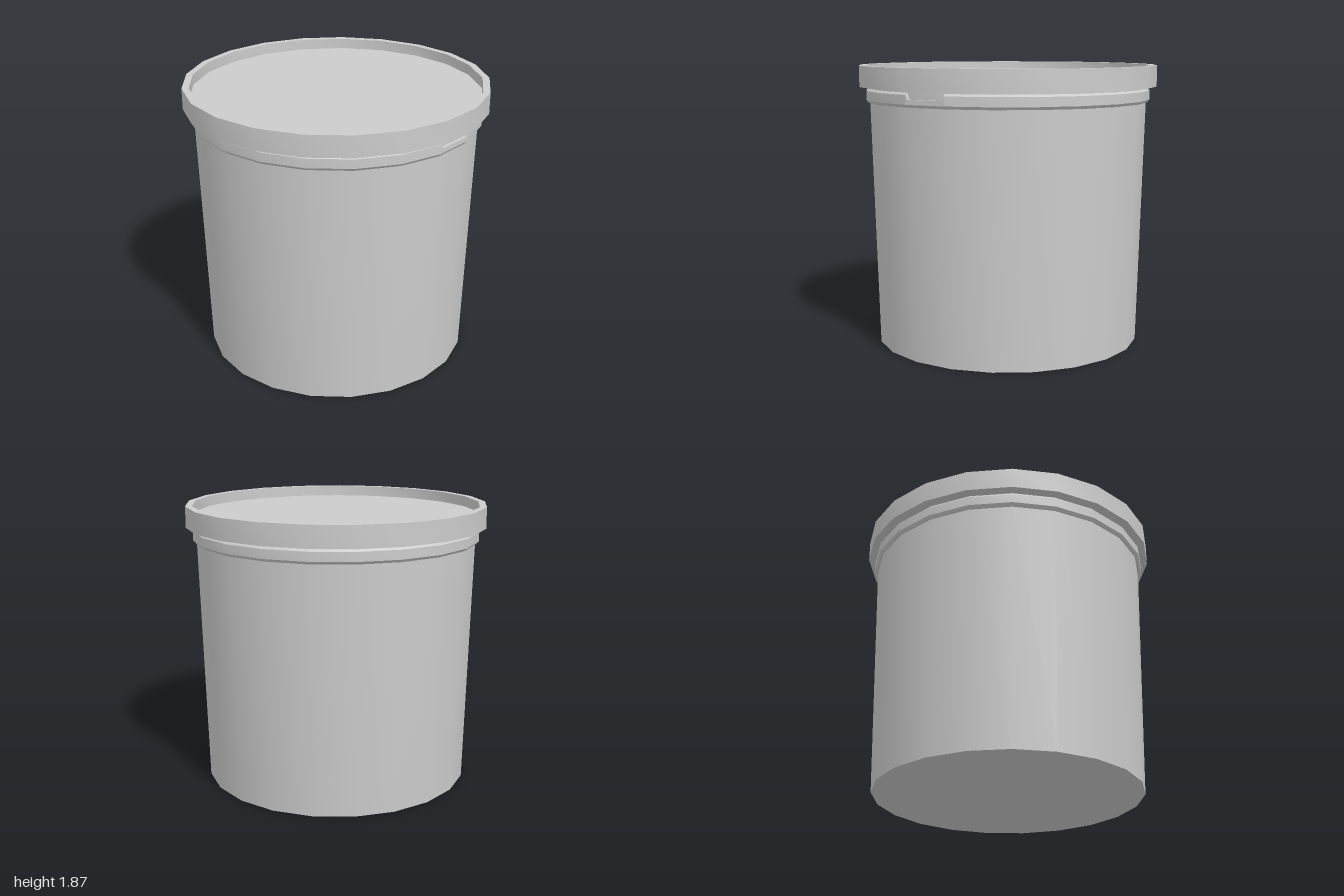
import * as THREE from 'three';
import { toCreasedNormals } from 'three/addons/utils/BufferGeometryUtils.js';

const SIDES = 21;
const STEP = (Math.PI * 2) / SIDES;

export function createModel() {
  const group = new THREE.Group();
  const material = new THREE.MeshStandardMaterial({ color: 0xcccccc, side: THREE.DoubleSide });

  const add = (name, geometry) => {
    const mesh = new THREE.Mesh(geometry, material);
    mesh.name = name;
    group.add(mesh);
    return mesh;
  };

  // Turned part with 21 sides; the flat facet faces the front
  const turned = (name, profile, segments = SIDES) => {
    const points = profile.map(([r, y]) => new THREE.Vector2(r, y));
    const lathe = new THREE.LatheGeometry(points, segments, STEP / 2, STEP * segments);
    return add(name, toCreasedNormals(lathe, 0.5));
  };

  // Tapered tub, closed at the bottom
  turned('tub', [[0, 0], [0.893, 0], [0.934, 1.63], [0.934, 1.74]]);

  // Collar under the lid: a full lower lip and an upper band that skips the front facet
  turned('collarLip', [[0.92, 1.627], [0.942, 1.627], [0.958, 1.645]]);
  turned('collarBand', [[0.958, 1.645], [0.958, 1.705], [0.945, 1.718], [0.92, 1.718]], SIDES - 1);

  // Front facet of the collar with the sloping notch for opening the lid
  const notch = new THREE.Shape([
    [-0.143, 1.645], [0.143, 1.645], [0.143, 1.715],
    [0.126, 1.676], [-0.126, 1.676], [-0.143, 1.715],
  ].map(([x, y]) => new THREE.Vector2(x, y)));
  const notchGeometry = new THREE.ExtrudeGeometry(notch, { depth: 0.047, bevelEnabled: false });
  add('collarNotch', notchGeometry.translate(0, 0, 0.9));

  // Lid with a raised rim around a recessed top
  turned('lid', [
    [0.92, 1.73], [1.003, 1.73], [1.003, 1.87], [0.957, 1.87], [0.957, 1.8], [0, 1.8],
  ]);

  // Thin square label panel above the lid's recess
  const panel = new THREE.PlaneGeometry(0.4, 0.4).rotateX(-Math.PI / 2);
  add('labelPanel', panel).position.set(0, 1.83, -0.0055);

  // An odd number of sides sits slightly off centre in depth
  group.children.forEach((mesh) => { mesh.position.z += 0.0055; });
  return group;
}
